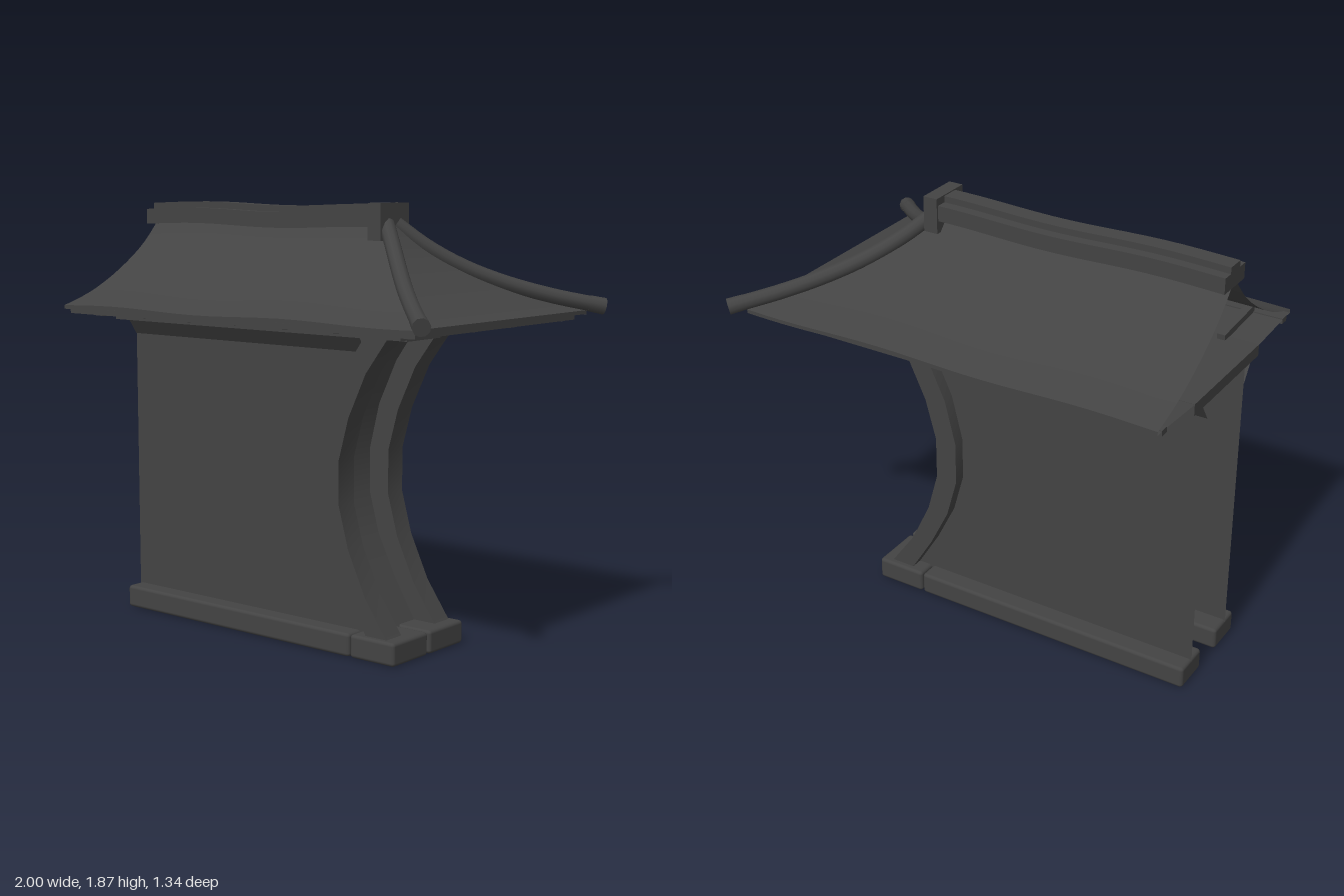
import * as THREE from 'three';
import { toCreasedNormals, mergeVertices } from 'three/addons/utils/BufferGeometryUtils.js';
import { RoundedBoxGeometry } from 'three/addons/geometries/RoundedBoxGeometry.js';
import { ParametricGeometry } from 'three/addons/geometries/ParametricGeometry.js';

const V2 = (x, y) => new THREE.Vector2(x, y);
const V3 = (x, y, z) => new THREE.Vector3(x, y, z);

export function createModel() {
  const model = new THREE.Group();
  const mat = new THREE.MeshStandardMaterial({ color: 0x434343, side: THREE.DoubleSide });

  const add = (name, geometry) => {
    const mesh = new THREE.Mesh(geometry, mat);
    mesh.name = name;
    model.add(mesh);
    return mesh;
  };
  // Box given by its minimum and maximum corners
  const box = (name, x0, x1, y0, y1, z0, z1, segments = 1) => {
    const g = new THREE.BoxGeometry(x1 - x0, y1 - y0, z1 - z0, segments, 1, 1);
    g.translate((x0 + x1) / 2, (y0 + y1) / 2, (z0 + z1) / 2);
    return add(name, g);
  };
  const stone = (name, x0, x1, z0, z1) => {
    const g = new RoundedBoxGeometry(x1 - x0, 0.1, z1 - z0, 2, 0.015);
    g.translate((x0 + x1) / 2, 0.05, (z0 + z1) / 2);
    return add(name, g);
  };
  // Slight waviness of the old timber along the length
  const sag = (x) => 0.008 * Math.sin((x + 0.94) * 6.5);

  // Concave end of the wall: outer and inner faceted curves
  const outer = [[0.5, 0.09], [0.38, 0.26], [0.29, 0.45], [0.24, 0.63], [0.24, 0.82],
    [0.29, 1.0], [0.38, 1.19], [0.5, 1.35]].map(([x, y]) => V2(x, y));
  const inner = [[0.39, 0.09], [0.28, 0.27], [0.19, 0.45], [0.14, 0.63], [0.14, 0.82],
    [0.19, 1.02], [0.28, 1.21], [0.38, 1.35]].map(([x, y]) => V2(x, y));
  const postShape = new THREE.Shape([...outer, ...[...inner].reverse()]);
  const wallShape = new THREE.Shape([V2(-1, 0.09), ...inner, V2(-1, 1.35)]);

  for (const s of [-1, 1]) {
    const span = (a, b) => (s > 0 ? [a, b] : [-b, -a]);
    // Thin wall face, set back from the posts
    add('wallPanel', new THREE.ShapeGeometry(wallShape)).position.z = s * 0.163;
    // Curved end post
    const post = new THREE.ExtrudeGeometry(postShape, { depth: 0.1, bevelEnabled: false });
    add('curvedPost', toCreasedNormals(post, 0.6)).position.z = span(0.118, 0.218)[0];
    // Sloping cornice board at the head of the wall
    add('wallHeadCornice', new ParametricGeometry((u, v, p) => {
      p.set(-1 + u * 1.34, 1.27 + v * 0.075, s * (0.166 + v * 0.05));
    }, 1, 1));
    // Foundation stones
    stone('baseStone', -1, 0.315, ...span(0.07, 0.245));
    stone('endStone', 0.32, 0.55, ...span(0.006, 0.245));
  }

  // Recessed panel between the two posts
  add('recessedPanel', new ParametricGeometry((u, v, p) => {
    const i = Math.min(Math.floor(u * 7 + 1e-6), 6);
    const q = inner[i].clone().lerp(inner[i + 1], u * 7 - i);
    p.set(q.x, q.y, (v - 0.5) * 0.25);
  }, 7, 1));

  // Brackets, ceiling and rim boards under the eaves
  box('endBracket', 0.3, 0.51, 1.32, 1.35, -0.115, 0.115);
  box('eavesPlate', -1, 0.61, 1.342, 1.392, -0.29, 0.29);
  const ceiling = (name, point, n) => add(name, new ParametricGeometry(point, n, 1));
  for (const s of [-1, 1]) {
    ceiling('eavesCeiling', (u, v, p) => {
      p.set(-1 + u * (1.6 + v * 0.28), 1.39 + v * 0.018, s * (0.28 + v * 0.28));
    }, 8);
    box('eavesRim', -1, 0.88, 1.386, 1.41, s * 0.54 - 0.02, s * 0.54 + 0.02);
  }
  ceiling('endCeiling', (u, v, p) => {
    p.set(0.6 + v * 0.28, 1.39 + v * 0.018, (u * 2 - 1) * (0.28 + v * 0.28));
  }, 4);
  box('endRim', 0.84, 0.88, 1.386, 1.41, -0.56, 0.56);

  // Rafters rising gently from the plate to the eave
  const rafter = (from, to) => {
    const d = to.clone().sub(from);
    const mesh = add('rafter', new THREE.BoxGeometry(0.036, 0.055, d.length()));
    mesh.position.copy(from).addScaledVector(d, 0.5);
    mesh.lookAt(to);
  };
  for (const s of [-1, 1]) {
    for (let i = 0; i < 6; i++) {
      const x = -0.85 + i * 0.26;
      rafter(V3(x, 1.388, s * 0.25), V3(x, 1.408, s * 0.53));
    }
    rafter(V3(0.56, 1.388, s * 0.13), V3(0.85, 1.408, s * 0.13));
    rafter(V3(0.58, 1.388, s * 0.26), V3(0.84, 1.408, s * 0.52));
  }

  // Concave roof profile: distance out from the ridge, height; ends in a small lip
  const profile = [...new THREE.SplineCurve([V2(0, 1.8), V2(0.1, 1.69), V2(0.2, 1.61),
    V2(0.32, 1.535), V2(0.45, 1.472), V2(0.595, 1.425)]).getPoints(14), V2(0.595, 1.409), V2(0.54, 1.409)];
  const n = profile.length - 1;
  const at = (v) => profile[Math.round(v * n)];
  const roofSheet = (name, point, nu) => {
    const g = new ParametricGeometry(point, nu, n);
    g.deleteAttribute('normal');
    g.deleteAttribute('uv');
    add(name, toCreasedNormals(mergeVertices(g), 0.6));
  };
  for (const s of [-1, 1]) {
    roofSheet('roofSlope', (u, v, p) => {
      const q = at(v);
      const x = -1 + (s > 0 ? u : 1 - u) * (1.34 + q.x * 0.966);
      p.set(x, q.y + sag(x) * 0.7 * (q.x / 0.595), s * q.x);
    }, 20);
  }
  roofSheet('roofHipEnd', (u, v, p) => {
    const q = at(v);
    p.set(0.34 + q.x * 0.966, q.y, (1 - 2 * u) * q.x);
  }, 10);

  // Two-tier ridge, gently wavy
  for (const [name, y0, y1, z] of [['ridgeBase', 1.768, 1.835, 0.087], ['ridgeCap', 1.83, 1.862, 0.04]]) {
    const g = box(name, -1, 0.32, y0, y1, -z, z, 16).geometry;
    const pos = g.attributes.position;
    for (let i = 0; i < pos.count; i++) pos.setY(i, pos.getY(i) + sag(pos.getX(i)) * 0.8);
    g.computeVertexNormals();
  }
  box('ridgeEndBlock', 0.292, 0.357, 1.72, 1.873, -0.096, 0.096);

  // Round hip ridges with a short collar at the tip
  for (const s of [-1, 1]) {
    const curve = new THREE.CatmullRomCurve3([[0.34, 1.785, 0.03], [0.44, 1.69, 0.115], [0.55, 1.608, 0.22],
      [0.67, 1.543, 0.34], [0.81, 1.488, 0.48], [0.965, 1.443, 0.638]].map(([x, y, z]) => V3(x, y, s * z)));
    add('hipRidge', new THREE.TubeGeometry(curve, 20, 0.033, 10));
    const tip = add('hipRidgeTip', new THREE.CylinderGeometry(0.036, 0.034, 0.07, 10));
    const dir = curve.getTangent(1);
    tip.position.copy(curve.getPoint(1)).addScaledVector(dir, -0.025);
    tip.quaternion.setFromUnitVectors(V3(0, 1, 0), dir);
  }

  return model;
}
